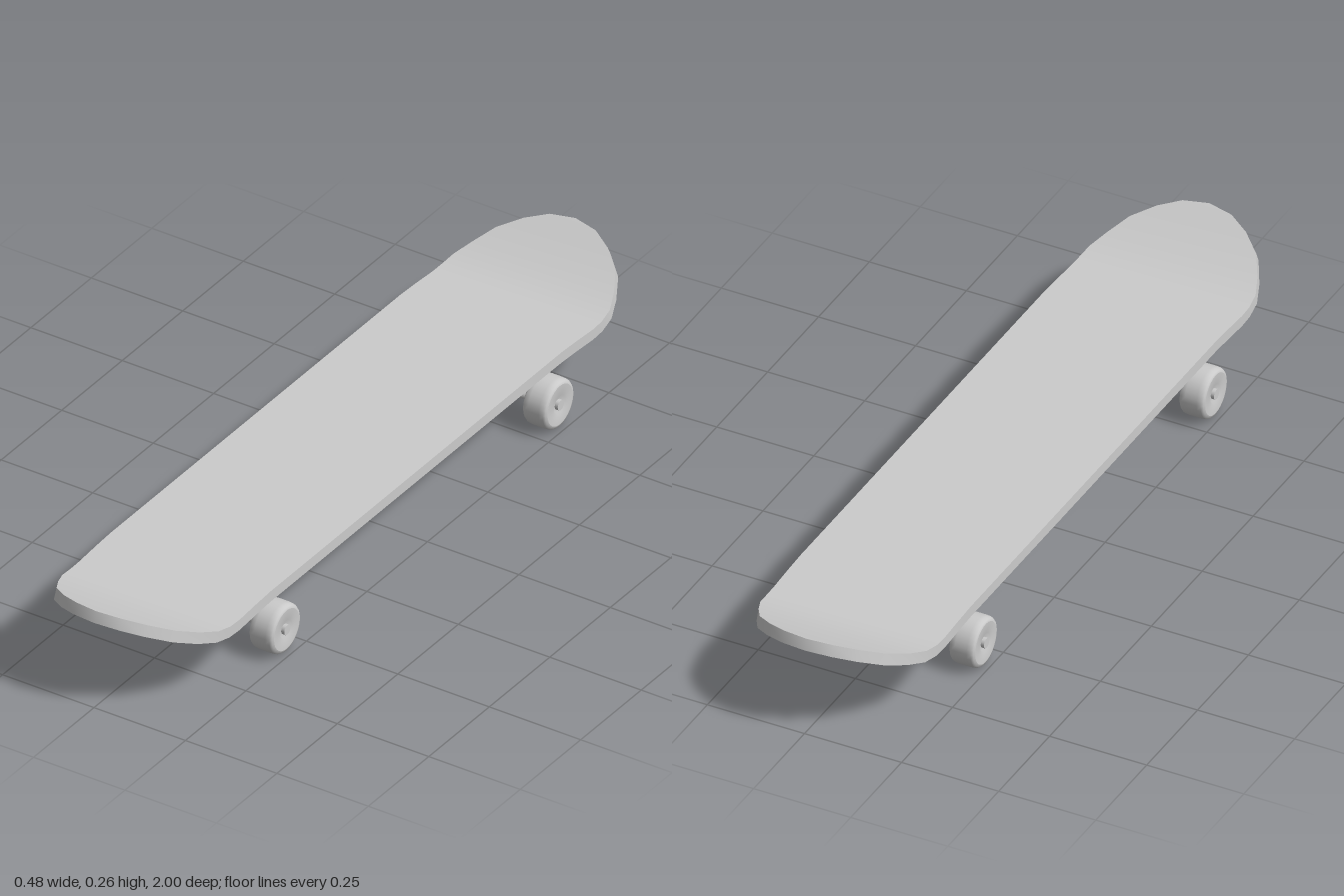
import * as THREE from 'three';

const material = new THREE.MeshStandardMaterial({ color: 0xcccccc });

function addMesh(parent, name, geometry, x = 0, y = 0, z = 0) {
  const mesh = new THREE.Mesh(geometry, material);
  mesh.name = name;
  mesh.position.set(x, y, z);
  parent.add(mesh);
  return mesh;
}

// Smooth surface through rows of points; every row has the same count
function loft(rows) {
  const n = rows[0].length;
  const index = [];
  for (let i = 0; i < rows.length - 1; i++) {
    for (let j = 0; j < n - 1; j++) {
      const a = i * n + j, b = a + 1, c = a + n, d = c + 1;
      index.push(a, c, b, b, c, d);
    }
  }
  const geometry = new THREE.BufferGeometry();
  geometry.setAttribute('position', new THREE.Float32BufferAttribute(rows.flat(2), 3));
  geometry.setIndex(index);
  geometry.computeVertexNormals();
  return geometry;
}

// Half of the deck from middle to tip: [z, underside height, half width]
const HALF_DECK = [
  [0, 0.152, 0.22], [0.6, 0.152, 0.22], [0.66, 0.149, 0.22], [0.73, 0.144, 0.22],
  [0.77, 0.145, 0.219], [0.815, 0.153, 0.214], [0.865, 0.169, 0.194],
  [0.92, 0.192, 0.163], [0.962, 0.212, 0.115], [0.99, 0.226, 0.063], [1, 0.23, 0],
];
const THICKNESS = 0.028;

function createDeck() {
  const deck = new THREE.Group();
  deck.name = 'deck';
  const stations = [
    ...HALF_DECK.slice(1).reverse().map(([z, y, w]) => [-z, y, w]),
    ...HALF_DECK,
  ];
  const bottom = stations.map(([z, y, w]) => ({ z, y, w }));
  // The top surface is the underside pushed out along its normal
  const top = stations.map(([z, y, w], i) => {
    const a = stations[Math.max(i - 1, 0)];
    const b = stations[Math.min(i + 1, stations.length - 1)];
    const dz = b[0] - a[0], dy = b[1] - a[1], l = Math.hypot(dz, dy);
    return { z: z - dy / l * THICKNESS, y: y + dz / l * THICKNESS, w };
  });
  const point = (p, side) => [p.w * side, p.y, p.z];
  addMesh(deck, 'deckTop', loft(top.map(p => [point(p, -1), point(p, 1)])));
  addMesh(deck, 'deckUnderside', loft(bottom.map(p => [point(p, 1), point(p, -1)])));
  // One rim runs round the whole outline, starting in the middle of the left side
  const left = top.map((p, i) => [point(p, 1), point(bottom[i], 1)]);
  const right = top.map((p, i) => [point(p, -1), point(bottom[i], -1)]).reverse();
  const middle = HALF_DECK.length - 1;
  addMesh(deck, 'deckRim',
    loft([...left.slice(middle), ...right.slice(1), ...left.slice(1, middle + 1)]));
  return deck;
}

// Hanger: teardrop sections whose pointed nose faces the middle of the board
function createHangerGeometry() {
  // [x, nose z, back z, half height]
  const half = [
    [0, 0.468, 0.583, 0.0215], [0.02, 0.473, 0.583, 0.0212], [0.045, 0.497, 0.582, 0.0195],
    [0.085, 0.525, 0.58, 0.0168], [0.13, 0.545, 0.579, 0.0142], [0.18, 0.552, 0.578, 0.013],
  ];
  const sections = [...half.slice(1).reverse().map(([x, ...s]) => [-x, ...s]), ...half];
  const SIDES = 20;
  return loft(sections.map(([x, nose, back, h]) => {
    const row = [];
    const pointed = 1 - Math.abs(x) / 0.18;
    for (let j = 0; j <= SIDES; j++) {
      const a = j / SIDES * Math.PI * 2;
      const taper = (1 + pointed * 0.36) * (1 - pointed * 0.7 * (1 - Math.cos(a)) / 2);
      row.push([
        x,
        0.0633 + h * Math.sin(a) * taper,
        (nose + back) / 2 + (back - nose) / 2 * Math.cos(a),
      ]);
    }
    return row;
  }));
}

// Wheel profile [radius, offset along the axle], with rounded shoulders and dished faces
function createWheelGeometry() {
  const outer = [
    [0.001, 0.026], [0.02, 0.026], [0.024, 0.031], [0.052, 0.0325], [0.052, 0.0325],
    [0.058, 0.0305], [0.0615, 0.025], [0.0625, 0.015],
  ];
  const profile = [...outer.map(([r, y]) => [r, -y]), ...outer.reverse()]
    .map(([r, y]) => new THREE.Vector2(r, y));
  return new THREE.LatheGeometry(profile, 28).rotateZ(-Math.PI / 2);
}

function createTruck(name) {
  const truck = new THREE.Group();
  truck.name = name;
  addMesh(truck, 'basePlate', new THREE.BoxGeometry(0.13, 0.006, 0.19), 0, 0.152, 0.525);
  addMesh(truck, 'post', new THREE.CylinderGeometry(0.021, 0.021, 0.095, 24), 0, 0.1065, 0.515);
  addMesh(truck, 'hanger', createHangerGeometry());
  // Kingpin under the hanger
  addMesh(truck, 'washer', new THREE.CylinderGeometry(0.018, 0.018, 0.012, 20), 0, 0.043, 0.515);
  addMesh(truck, 'kingpinNut', new THREE.CylinderGeometry(0.01, 0.01, 0.014, 12), 0, 0.035, 0.515);
  addMesh(truck, 'axle', new THREE.CylinderGeometry(0.008, 0.008, 0.47, 12).rotateZ(Math.PI / 2),
    0, 0.0625, 0.565);
  for (const side of [1, -1]) {
    addMesh(truck, side > 0 ? 'leftWheel' : 'rightWheel', createWheelGeometry(),
      side * 0.2065, 0.0625, 0.565);
    addMesh(truck, side > 0 ? 'leftAxleNut' : 'rightAxleNut',
      new THREE.CylinderGeometry(0.013, 0.013, 0.012, 12).rotateZ(Math.PI / 2),
      side * 0.235, 0.0625, 0.565);
  }
  return truck;
}

export function createModel() {
  const model = new THREE.Group();
  model.name = 'skateboard';
  model.add(createDeck());
  const front = createTruck('frontTruck');
  const rear = createTruck('rearTruck');
  rear.rotation.y = Math.PI;
  model.add(front, rear);
  return model;
}
